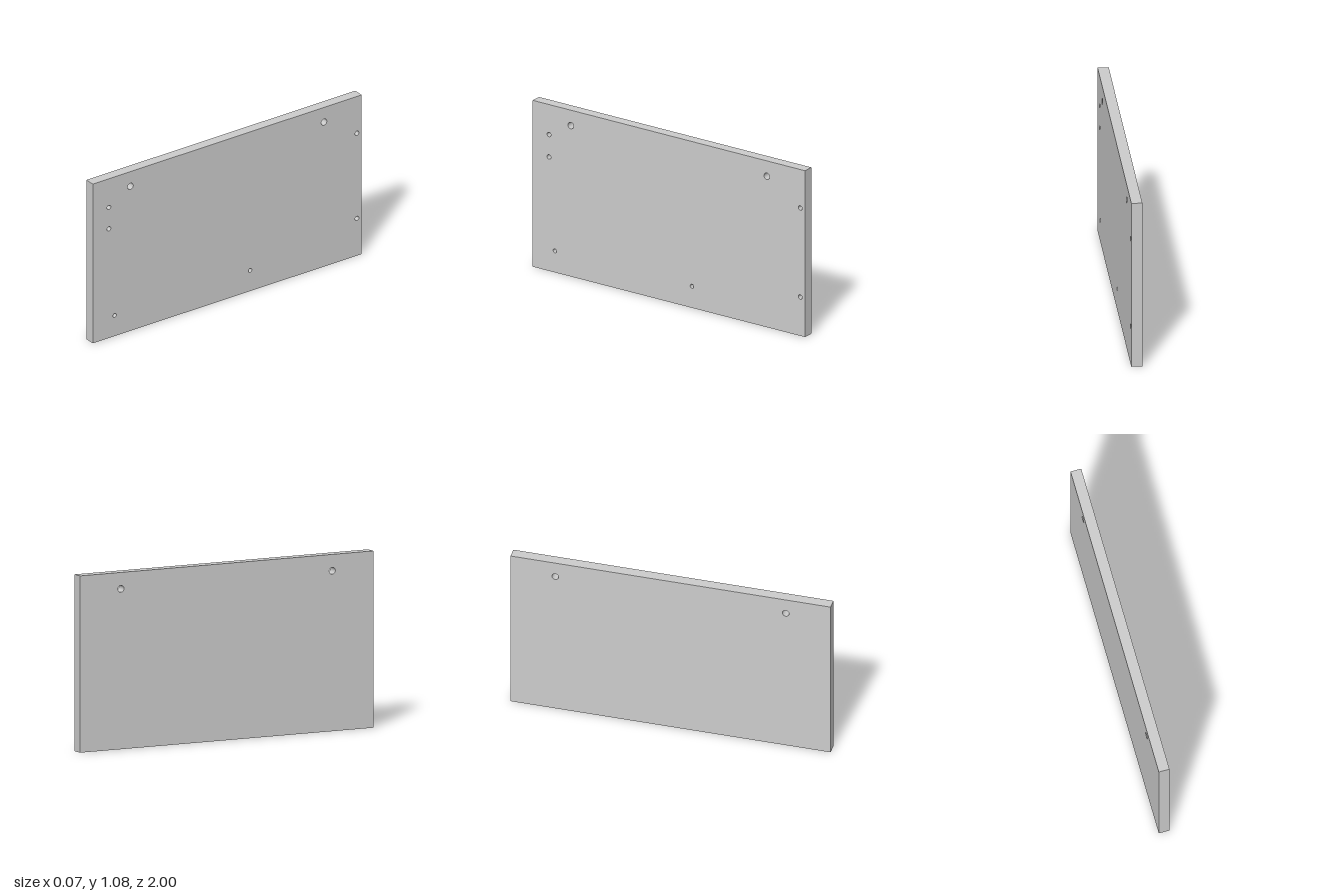
import * as THREE from 'three';

const T = 0.067, H = 1.08, L = 2, SEG = 32;
const R = Math.PI / 2;

// Holes as [z, y, radius]
const throughHoles = [[0.72, 0.98, 0.021], [-0.72, 0.98, 0.021]];
const blindHoles = [
  [0.88, 0.885, 0.0145], [0.88, 0.74, 0.0145],
  [-0.965, 0.83, 0.0145], [-0.965, 0.252, 0.0145],
  [0.837, 0.14, 0.013], [-0.17, 0.14, 0.013],
];
const dowelZ = [0.72, -0.72], dowelR = 0.0145;
const BLIND_DEPTH = 0.045, DOWEL_DEPTH = 0.1;

// Flat rectangle facing +z, pierced by round holes [u, v, radius]
function face(w, h, holes = []) {
  const s = new THREE.Shape([[-1, -1], [1, -1], [1, 1], [-1, 1]]
    .map(([a, b]) => new THREE.Vector2(a * w / 2, b * h / 2)));
  for (const [u, v, r] of holes) {
    s.holes.push(new THREE.Path().absarc(u, v, r, 0, Math.PI * 2, true));
  }
  return new THREE.ShapeGeometry(s, SEG);
}

export function createModel() {
  const group = new THREE.Group();
  const skin = new THREE.MeshStandardMaterial({ color: 0xcccccc });
  const inside = new THREE.MeshStandardMaterial({ color: 0xcccccc, side: THREE.BackSide });

  const add = (name, geometry, material = skin, parent = group) => {
    const mesh = new THREE.Mesh(geometry, material);
    mesh.name = name;
    parent.add(mesh);
    return mesh;
  };

  // Six faces of the board
  const onSide = (list, dir) => list.map(([z, y, r]) => [dir * z, y - H / 2, r]);
  add('drilledFace', face(L, H, onSide([...throughHoles, ...blindHoles], -1))
    .rotateY(R).translate(T / 2, H / 2, 0));
  add('plainFace', face(L, H, onSide(throughHoles, 1))
    .rotateY(-R).translate(-T / 2, H / 2, 0));
  add('frontEdge', face(T, H).translate(0, H / 2, L / 2));
  add('backEdge', face(T, H).rotateY(Math.PI).translate(0, H / 2, -L / 2));
  add('topEdge', face(T, L).rotateX(-R).translate(0, H, 0));
  add('bottomEdge', face(T, L, dowelZ.map(z => [0, z, dowelR])).rotateX(R));

  // Bore with its mouth at the origin, running down -y, with an optional floor
  const bore = (name, r, depth, hasFloor) => {
    const g = new THREE.Group();
    g.name = name;
    add(name + 'Wall', new THREE.CylinderGeometry(r, r, depth, SEG, 1, true)
      .translate(0, -depth / 2, 0), inside, g);
    if (hasFloor) {
      add(name + 'Floor', new THREE.CircleGeometry(r, SEG)
        .rotateX(-R).translate(0, -depth, 0), skin, g);
    }
    group.add(g);
    return g;
  };

  // Bores entering from the drilled face
  const sideBore = (name, [z, y, r], depth, hasFloor) => {
    const g = bore(name, r, depth, hasFloor);
    g.rotation.z = -R;
    g.position.set(T / 2, y, z);
  };
  throughHoles.forEach(h => sideBore('throughHole', h, T, false));
  blindHoles.forEach(h => sideBore('blindHole', h, BLIND_DEPTH, true));

  // Dowel bores entering from the bottom edge
  for (const z of dowelZ) {
    const g = bore('dowelHole', dowelR, DOWEL_DEPTH, true);
    g.rotation.x = Math.PI;
    g.position.set(0, 0, z);
  }
  return group;
}
